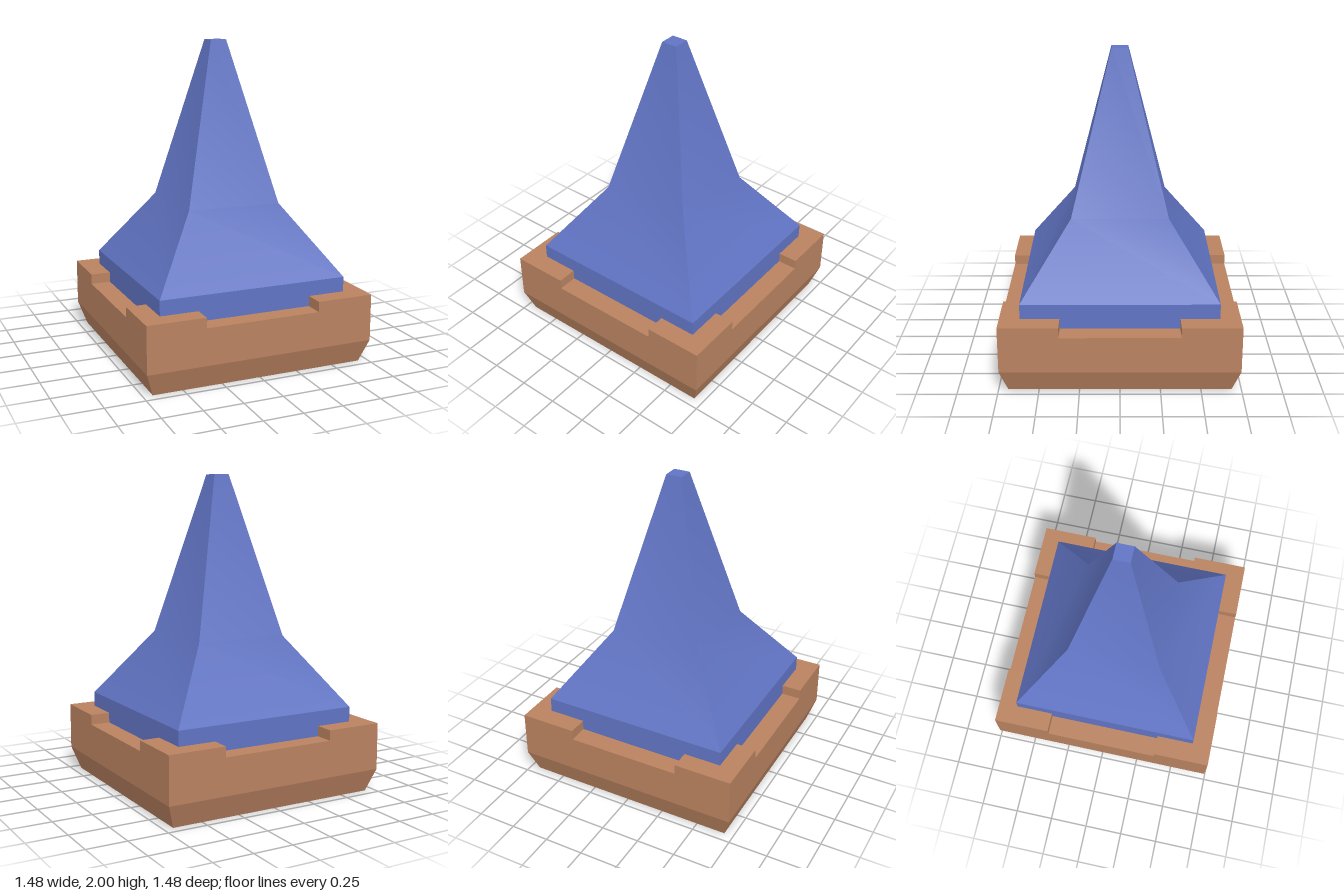
import * as THREE from 'three';
import { toCreasedNormals } from 'three/addons/utils/BufferGeometryUtils.js';

// Square tower from [half width, height] pairs, bottom to top
function squareLoft(profile, crease) {
  const points = profile.map(([half, y]) => new THREE.Vector2(half * Math.SQRT2, y));
  const geometry = new THREE.LatheGeometry(points, 4, Math.PI / 4);
  return toCreasedNormals(geometry, crease);
}

export function createModel() {
  const model = new THREE.Group();
  const stone = new THREE.MeshStandardMaterial({ color: 0xb98260 });
  stone.name = 'tan stone';
  const slate = new THREE.MeshStandardMaterial({ color: 0x6174c4 });
  slate.name = 'blue slate';

  const add = (name, geometry, material, x = 0, y = 0, z = 0) => {
    const mesh = new THREE.Mesh(geometry, material);
    mesh.name = name;
    mesh.position.set(x, y, z);
    model.add(mesh);
  };

  // Plinth with a tapered foot
  const floor = 0.38, rim = 0.445, outer = 0.74, notch = 0.37;
  add('plinth', squareLoft([[0, 0], [0.69, 0], [outer, 0.147], [outer, floor], [0, floor]], 0.15), stone);

  // Raised corner blocks, leaving a notch in the middle of each side
  const size = outer - notch;
  const block = new THREE.BoxGeometry(size, rim - floor, size);
  for (const sx of [-1, 1]) {
    for (const sz of [-1, 1]) {
      add('cornerBlock', block, stone, sx * (notch + size / 2), (floor + rim) / 2, sz * (notch + size / 2));
    }
  }

  // Spire roof: straight skirt, flared eaves, steep upper part and flat tip
  add('spireRoof', squareLoft([[0.613, floor], [0.613, 0.54], [0.305, 0.98], [0.052, 2], [0, 2]], 0.52), slate);

  return model;
}
